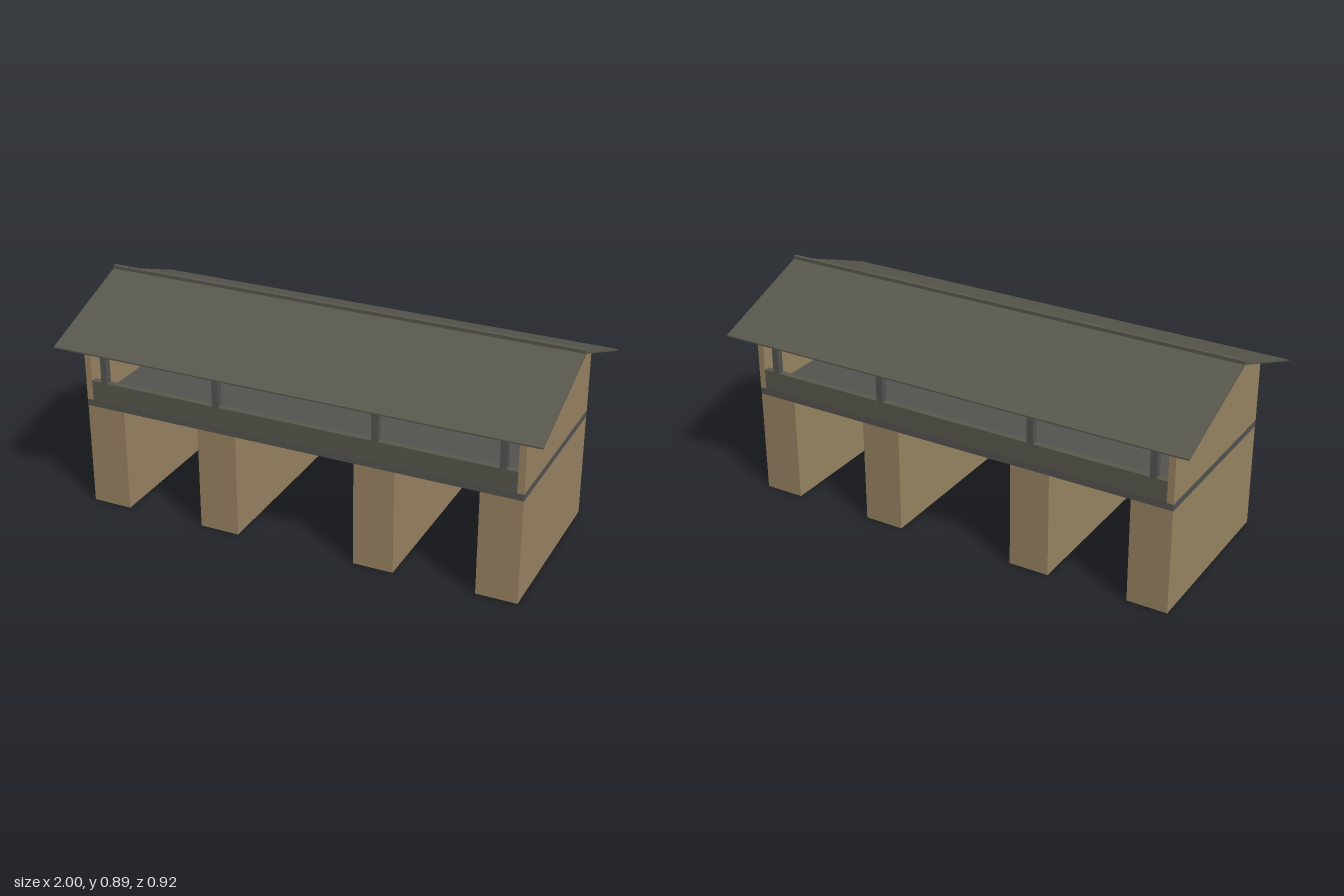
import * as THREE from 'three';

const stone = new THREE.MeshStandardMaterial({ color: 0x988462 });
stone.name = 'tanStone';
const roofGrey = new THREE.MeshStandardMaterial({ color: 0x58584e });
roofGrey.name = 'oliveGrey';
const deckGrey = new THREE.MeshStandardMaterial({ color: 0x545350 });
deckGrey.name = 'deckGrey';

const HALF_X = 0.917, HALF_Z = 0.375, WALL = 0.027;
const DECK_Y = 0.433, FLOOR_Y = 0.46, RAIL_Y = 0.545, BEAM_Y = 0.68;
const EAVE_Z = 0.458, EAVE_Y = 0.699, RIDGE_Y = 0.871;

export function createModel() {
  const model = new THREE.Group();
  model.name = 'coveredBridge';

  const add = (name, geometry, material) => {
    const mesh = new THREE.Mesh(geometry, material);
    mesh.name = name;
    model.add(mesh);
    return mesh;
  };
  // Box given by its extents on each axis
  const box = (name, material, [x0, x1], [y0, y1], [z0, z1]) =>
    add(name, new THREE.BoxGeometry(x1 - x0, y1 - y0, z1 - z0), material)
      .position.set((x0 + x1) / 2, (y0 + y1) / 2, (z0 + z1) / 2);
  // Outline in (z, y), extruded along x
  const profile = (name, material, points, x0, x1) => {
    const shape = new THREE.Shape(points.map(([z, y]) => new THREE.Vector2(-z, y)));
    const geometry = new THREE.ExtrudeGeometry(shape, { depth: x1 - x0, bevelEnabled: false });
    geometry.rotateY(Math.PI / 2).translate(x0, 0, 0);
    add(name, geometry, material);
  };

  const bays = [-0.833, -0.333, 0.333, 0.833];

  // Piers and deck
  for (const x of bays)
    box('pier', stone, [x - 0.083, x + 0.083], [0, DECK_Y], [-HALF_Z, HALF_Z]);
  box('deck', deckGrey, [-HALF_X, HALF_X], [DECK_Y, FLOOR_Y], [-HALF_Z, HALF_Z]);

  // Gabled end walls
  const wallTop = RIDGE_Y - (RIDGE_Y - EAVE_Y) * HALF_Z / EAVE_Z;
  const gable = [[HALF_Z, FLOOR_Y], [-HALF_Z, FLOOR_Y], [-HALF_Z, wallTop], [0, RIDGE_Y], [HALF_Z, wallTop]];
  profile('leftEndWall', stone, gable, HALF_X - WALL, HALF_X);
  profile('rightEndWall', stone, gable, -HALF_X, -HALF_X + WALL);

  // Open sides: parapet, posts and top beam
  const inner = HALF_X - WALL;
  for (const side of [1, -1]) {
    const zs = (a, b) => (side > 0 ? [a, b] : [-b, -a]);
    const z = zs(HALF_Z - WALL, HALF_Z);
    box('parapet', roofGrey, [-inner, inner], [FLOOR_Y, RAIL_Y], z);
    box('topBeam', roofGrey, [-inner, inner], [BEAM_Y, wallTop - 0.002], z);
    for (const x of bays)
      box('post', deckGrey, [x - 0.0135, x + 0.0135], [RAIL_Y, BEAM_Y], z);
  }

  // Thin pitched roof with a ridge cap
  const t = 0.006;
  profile('roof', roofGrey, [
    [EAVE_Z, EAVE_Y], [0, RIDGE_Y], [-EAVE_Z, EAVE_Y],
    [-EAVE_Z, EAVE_Y + t], [0, RIDGE_Y + t], [EAVE_Z, EAVE_Y + t],
  ], -1, 1);
  box('ridgeCap', roofGrey, [-1, 1], [0.874, 0.888], [-0.008, 0.008]);

  return model;
}
